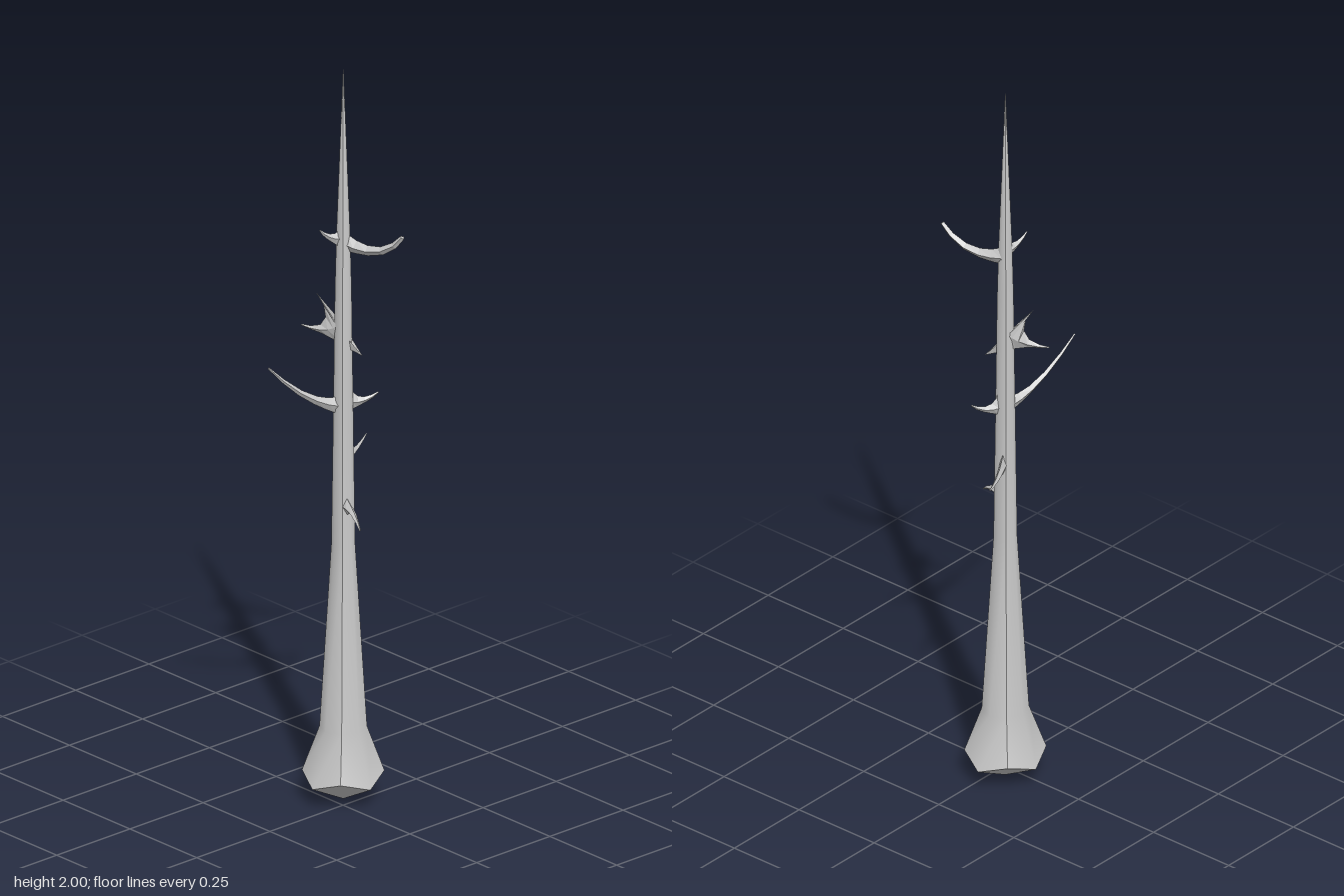
import * as THREE from 'three';
import { mergeGeometries } from 'three/addons/utils/BufferGeometryUtils.js';

const CX = -0.031, CZ = -0.029;

// Skin a list of rows (each a list of Vector3) into a sheet; rows run upward, columns counter-clockwise from above.
function sheet(rows) {
  const n = rows[0].length, index = [];
  for (let r = 0; r < rows.length - 1; r++) {
    for (let c = 0; c < n - 1; c++) {
      const a = r * n + c, b = a + 1, d = a + n, e = d + 1;
      index.push(a, b, e, a, e, d);
    }
  }
  const g = new THREE.BufferGeometry().setFromPoints(rows.flat());
  g.setIndex(index);
  g.computeVertexNormals();
  return g;
}

// Point on the trunk's eight-sided ring; even steps lie on the axes, odd steps on the corners.
function ringPoint(step, radius, y, cornerLift = 0) {
  const a = step * Math.PI / 4;
  return new THREE.Vector3(
    CX + Math.sin(a) * radius * 0.98,
    y + (step % 2 ? cornerLift : 0),
    CZ + Math.cos(a) * radius * 1.02
  );
}

// Trunk sections: radius, height, lift of the corner points
const SECTIONS = [
  [0.104, 0.055, 0.024], [0.06, 0.2, 0], [0.03, 0.7, 0], [0.025, 1.08, 0],
  [0.021, 1.4, 0], [0.017, 1.56, 0], [0.0008, 2, 0],
];

// Thorn: diamond section swept along a curve, with a tall flared root.
// halfW and halfH are the root's half width and half height, tip the end radius.
function thornGeometry({ root, bend, end, halfW, halfH, tip = 0.002 }) {
  const curve = new THREE.QuadraticBezierCurve3(...[root, bend, end].map(p => new THREE.Vector3(...p)));
  const rows = [0, 0.14, 0.32, 0.55, 0.8, 1].map((t) => {
    const p = curve.getPoint(t), dir = curve.getTangent(t);
    const side = new THREE.Vector3(dir.z, 0, -dir.x).normalize();
    const up = new THREE.Vector3().crossVectors(dir, side);
    const w = tip + (halfW - tip) * (1 - t);
    const h = tip + (halfH - tip) * Math.pow(1 - t, 3.5) + 0.004 * t * (1 - t) * 4;
    return [0, 1, 2, 3, 4].map((i) => {
      const a = i * Math.PI / 2;
      return p.clone().addScaledVector(side, Math.cos(a) * w).addScaledVector(up, Math.sin(a) * h);
    });
  });
  // close the tip
  rows.push(rows[rows.length - 1].map(() => curve.getPoint(1)));
  return sheet(rows);
}

const THORNS = [
  { name: 'upperLeftThorn', root: [-0.03, 1.525, -0.036], bend: [0.08, 1.495, -0.064], end: [0.137, 1.578, -0.078], halfW: 0.014, halfH: 0.024, tip: 0.006 },
  { name: 'upperFrontThorn', root: [-0.033, 1.54, -0.025], bend: [-0.041, 1.54, 0.01], end: [-0.047, 1.572, 0.036], halfW: 0.01, halfH: 0.03 },
  { name: 'flaredRightThorn', root: [-0.04, 1.3, -0.024], bend: [-0.075, 1.268, -0.008], end: [-0.141, 1.278, 0.013], halfW: 0.015, halfH: 0.1 },
  { name: 'longFrontThorn', root: [-0.035, 1.085, -0.01], bend: [-0.061, 1.105, 0.075], end: [-0.085, 1.223, 0.177], halfW: 0.011, halfH: 0.022, tip: 0.0025 },
  { name: 'midBackThorn', root: [-0.028, 1.09, -0.038], bend: [-0.01, 1.075, -0.08], end: [0.01, 1.105, -0.112], halfW: 0.011, halfH: 0.038 },
  { name: 'longBackThorn', root: [-0.035, 0.925, -0.038], bend: [-0.075, 0.913, -0.11], end: [-0.11, 0.933, -0.18], halfW: 0.01, halfH: 0.036 },
  { name: 'lowerLeftThorn', root: [-0.025, 0.81, -0.026], bend: [0.03, 0.82, -0.008], end: [0.077, 0.78, 0.012], halfW: 0.014, halfH: 0.035 },
];

export function createModel() {
  const model = new THREE.Group();
  model.name = 'thornyTrunk';
  const soft = new THREE.MeshStandardMaterial({ color: 0xcccccc, side: THREE.DoubleSide });
  const flat = new THREE.MeshStandardMaterial({ color: 0xcccccc, side: THREE.DoubleSide, flatShading: true });
  const add = (name, geometry, material) => {
    const mesh = new THREE.Mesh(geometry, material);
    mesh.name = name;
    model.add(mesh);
  };

  // Trunk: four bowed sides meeting at crisp corners; foot: shallow point below the rim
  const sides = [], feet = [];
  for (let q = 0; q < 4; q++) {
    const steps = [2 * q - 1, 2 * q, 2 * q + 1];
    sides.push(sheet(SECTIONS.map(([r, y, lift]) => steps.map(s => ringPoint(s, r, y, lift)))));
    const [r, y, lift] = SECTIONS[0];
    feet.push(sheet([
      steps.map(() => new THREE.Vector3(CX, 0, CZ)),
      steps.map(s => ringPoint(s, r, y, lift)),
    ]));
  }
  add('trunk', mergeGeometries(sides), soft);
  add('foot', mergeGeometries(feet), flat);

  // Thorns
  for (const t of THORNS) add(t.name, thornGeometry(t), flat);
  return model;
}
